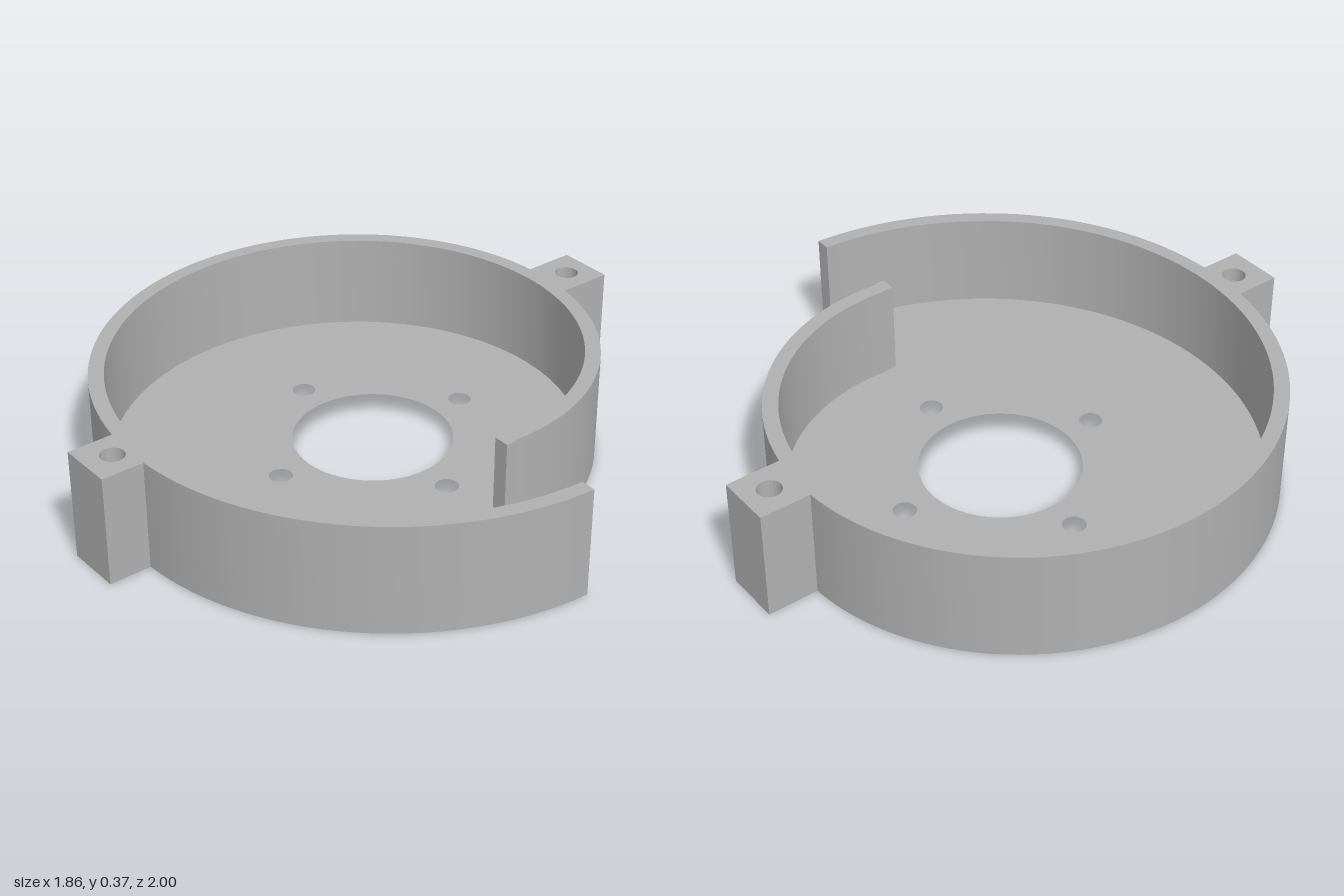
import * as THREE from 'three';
import { toCreasedNormals } from 'three/addons/utils/BufferGeometryUtils.js';

const CX = -0.086, CZ = -0.07;   // centre of the spiral and the bore
const HEIGHT = 0.373, FLOOR = 0.05, WALL = 0.05;
const R_START = 0.676, R_GROWTH = 0.335;

// Points of the growing spiral, from +x round by the back, left and front to +x
function spiral(inset, steps = 128) {
  return Array.from({ length: steps + 1 }, (_, i) => {
    const t = i / steps, a = -t * Math.PI * 2;
    const r = R_START + R_GROWTH * t - inset;
    return new THREE.Vector2(CX + r * Math.cos(a), CZ + r * Math.sin(a));
  });
}

function rectangle(x0, x1, z0, z1) {
  return new THREE.Shape([[x0, z0], [x1, z0], [x1, z1], [x0, z1]].map(p => new THREE.Vector2(...p)));
}

function addHole(shape, x, z, radius) {
  shape.holes.push(new THREE.Path().absarc(x, z, radius, 0, Math.PI * 2, true));
}

export function createModel() {
  const group = new THREE.Group();
  const grey = new THREE.MeshStandardMaterial({ color: 0xb0b0b0 });
  grey.name = 'grey plastic';

  // Extrude a plan (x, z) upwards between two heights
  function addPart(name, shape, y0, y1) {
    const geometry = new THREE.ExtrudeGeometry(shape, { depth: y1 - y0, bevelEnabled: false, curveSegments: 24 });
    geometry.rotateX(Math.PI / 2).translate(0, y1, 0);
    const mesh = new THREE.Mesh(toCreasedNormals(geometry, 0.5), grey);
    mesh.name = name;
    group.add(mesh);
  }

  // Floor with the central bore and four screw holes
  const floor = new THREE.Shape(spiral(0));
  addHole(floor, CX, CZ, 0.262);
  for (let i = 0; i < 4; i++) {
    const a = i * Math.PI / 2;
    addHole(floor, CX + 0.372 * Math.cos(a), CZ + 0.372 * Math.sin(a), 0.038);
  }
  addPart('floor', floor, 0, FLOOR);

  // Spiral wall, open at the outlet
  addPart('spiralWall', new THREE.Shape([...spiral(0), ...spiral(WALL).reverse()]), FLOOR, HEIGHT);

  // Short lip where the wall begins
  addPart('outletLip', rectangle(0.543, 0.595, CZ, -0.032), FLOOR, HEIGHT);

  // Mounting lugs at the back and front
  for (const [name, z0, z1, hole] of [['backLug', -1, -0.805, -0.91], ['frontLug', 0.83, 1, 0.905]]) {
    const lug = rectangle(-0.18, 0.006, z0, z1);
    addHole(lug, CX, hole, 0.039);
    addPart(name, lug, 0, HEIGHT);
  }
  return group;
}
